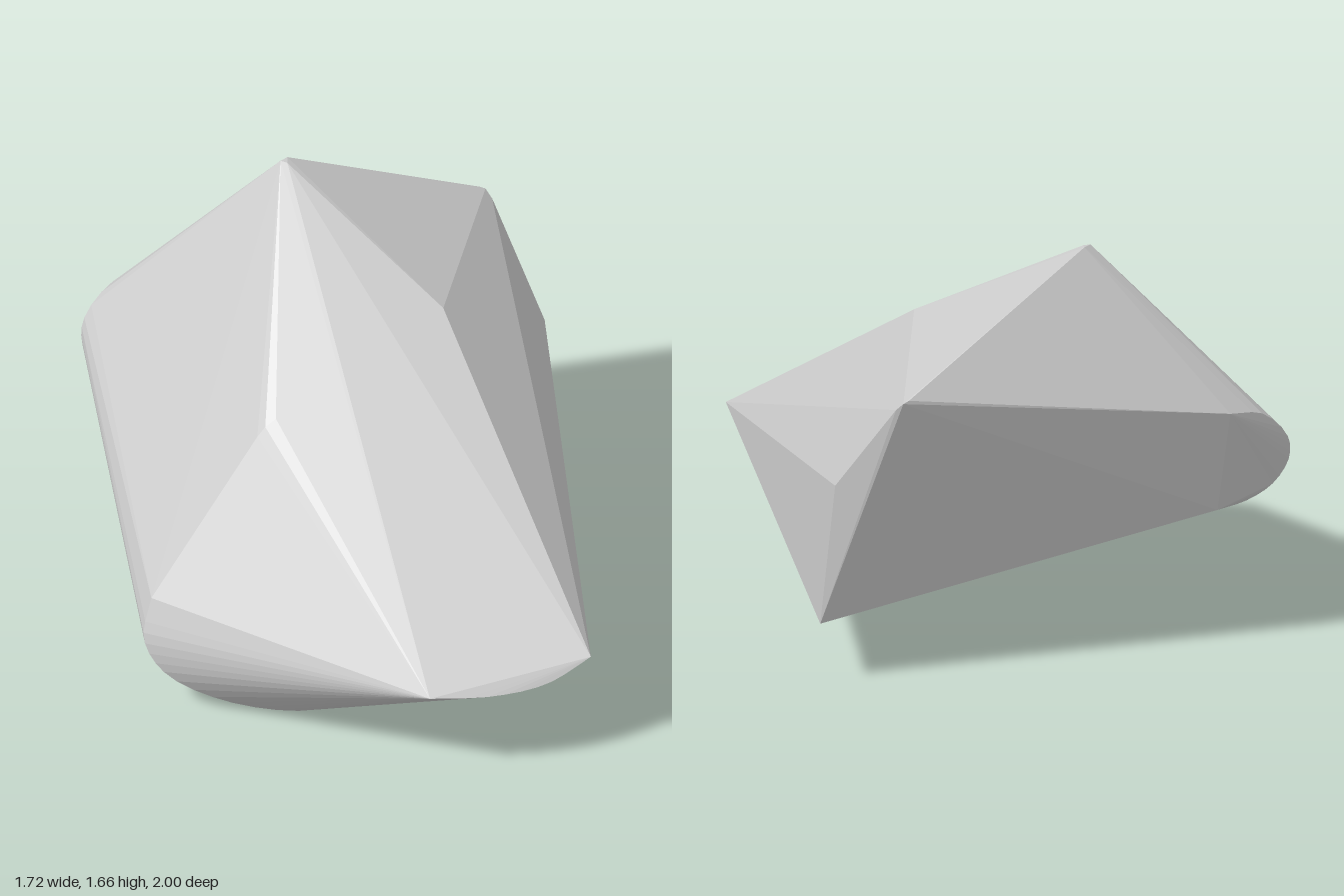
import * as THREE from 'three';
import { ConvexGeometry } from 'three/addons/geometries/ConvexGeometry.js';

const vec = (p) => new THREE.Vector3(...p);
// Rounded rim sampled from a few control points
const rim = (pts, n) => new THREE.CatmullRomCurve3(pts.map(vec)).getPoints(n);

export function createModel() {
  const group = new THREE.Group();
  const material = new THREE.MeshStandardMaterial({ color: 0xcccccc, flatShading: true });

  // Sharp corners of the faceted stone
  const corners = [
    [-0.05, 1.66, -0.66], [-0.02, 1.66, -0.67], [-0.03, 1.655, -0.645], // peak
    [0.73, 1.27, -0.73], [0.75, 1.26, -0.725], [0.765, 1.23, -0.7], // shoulder
    [0.35, 1.28, -0.12], // upper front ridge
    [0.86, 0.85, -0.44], [0.85, 0.26, -0.32], // left flank
    [-0.40, 1.01, 0.0], [-0.37, 1.045, 0.0], [-0.33, 1.07, 0.0], // right ridge
  ].map(vec);

  // Rounded rim at the back
  const backRim = rim([
    [-0.42, 1.05, -1.0], [-0.55, 1.02, -1.0], [-0.66, 0.9, -0.99], [-0.675, 0.8, -0.97],
    [-0.63, 0.7, -0.935], [-0.55, 0.635, -0.89], [-0.45, 0.61, -0.86],
  ], 18);

  // Rounded rim along the base
  const baseRim = rim([
    [-0.82, 0.45, 0.05], [-0.86, 0.3, 0.08], [-0.8, 0.17, 0.135],
    [-0.6, 0.05, 0.22], [-0.34, 0.0, 0.31], [-0.22, 0.015, 0.32],
  ], 18);

  // Curved tip at the front
  const frontRim = rim([
    [0.47, 0.49, 0.98], [0.3, 0.43, 0.995], [0.1, 0.42, 0.98], [-0.12, 0.44, 0.935],
  ], 10);

  const stone = new THREE.Mesh(
    new ConvexGeometry([...corners, ...backRim, ...baseRim, ...frontRim]), material);
  stone.name = 'facetedStone';
  group.add(stone);
  return group;
}
